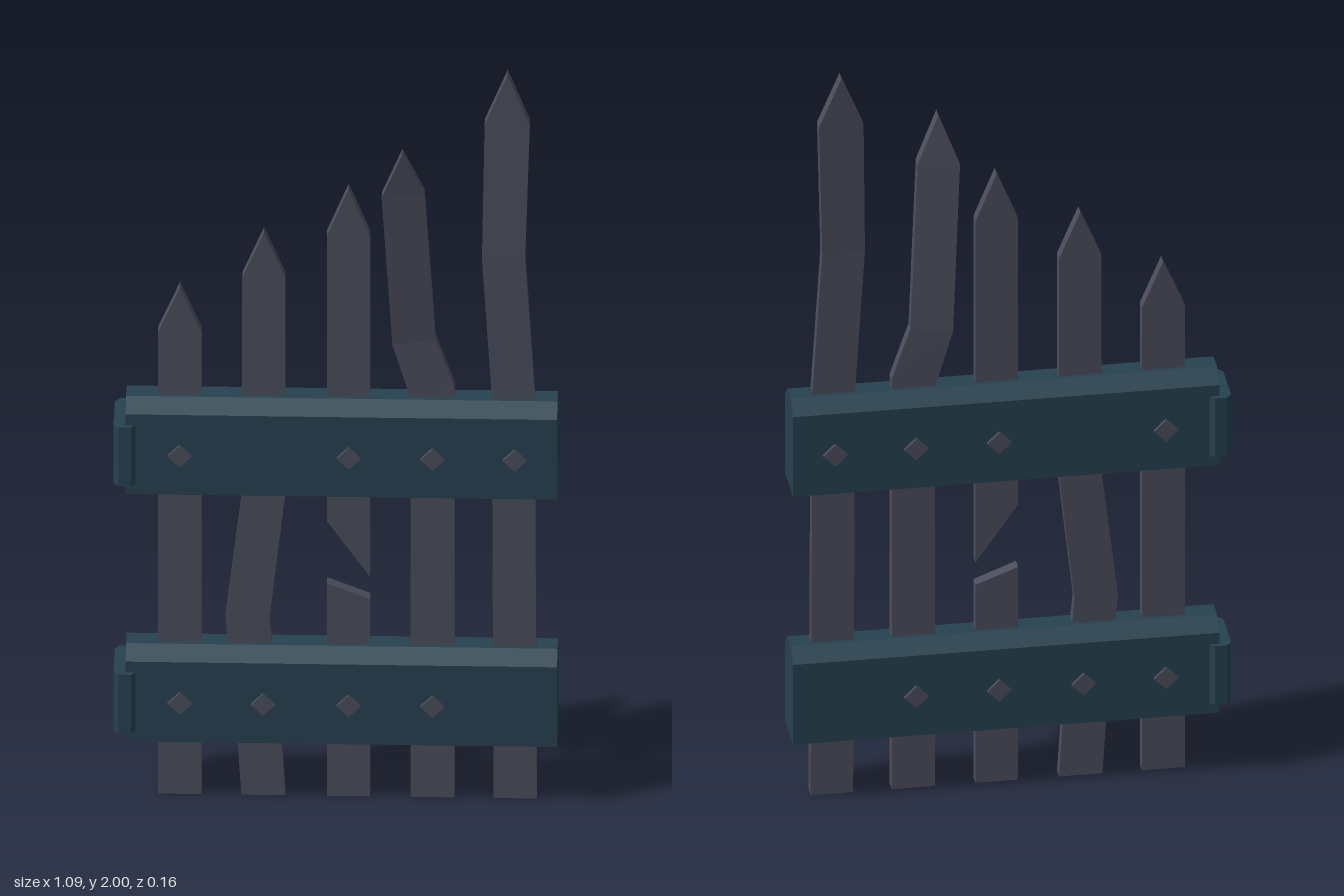
import * as THREE from 'three';

const Z = -0.006; // mid-plane of the fence

// Flat-shaded board lofted through sections [xLeft, xRight, yLeft, yRight, zMiddle]
function boardGeometry(sections, half = 0.016) {
  const rings = sections.map(([a, b, ya, yb, z = Z]) => [
    [a, ya, z + half], [b, yb, z + half], [b, yb, z - half], [a, ya, z - half],
  ]);
  const pos = [];
  const quad = (a, b, c, d) => pos.push(...a, ...b, ...c, ...a, ...c, ...d);
  for (let i = 0; i < rings.length - 1; i++) {
    const lo = rings[i], hi = rings[i + 1];
    for (let j = 0; j < 4; j++) {
      const k = (j + 1) % 4;
      quad(lo[j], lo[k], hi[k], hi[j]);
    }
  }
  const first = rings[0], last = rings[rings.length - 1];
  quad(first[3], first[2], first[1], first[0]);
  quad(last[0], last[1], last[2], last[3]);
  const g = new THREE.BufferGeometry();
  g.setAttribute('position', new THREE.Float32BufferAttribute(pos, 3));
  g.computeVertexNormals();
  return g;
}

// Extrudes a closed outline of [x, y] points
function prism(points, depth) {
  const shape = new THREE.Shape(points.map(([x, y]) => new THREE.Vector2(x, y)));
  return new THREE.ExtrudeGeometry(shape, { depth, bevelEnabled: false });
}

export function createModel() {
  const group = new THREE.Group();
  const picketMat = new THREE.MeshStandardMaterial({ color: 0x4b4d5c });
  picketMat.name = 'slate grey';
  const railMat = new THREE.MeshStandardMaterial({ color: 0x264150 });
  railMat.name = 'dark teal';

  const add = (name, geometry, material) => {
    const mesh = new THREE.Mesh(geometry, material);
    mesh.name = name;
    group.add(mesh);
    return mesh;
  };

  // Pickets, from left to right, with bends, leans and a break
  const pickets = {
    shortPicket: [
      [-0.44, -0.333, 0, 0], [-0.44, -0.333, 1.285, 1.285], [-0.386, -0.386, 1.41, 1.41],
    ],
    bentPicket: [
      [-0.235, -0.127, 0, 0], [-0.25, -0.142, 0.24, 0.24], [-0.274, -0.166, 0.49, 0.49],
      [-0.233, -0.127, 0.84, 0.84], [-0.233, -0.127, 1.44, 1.44], [-0.18, -0.18, 1.565, 1.565],
    ],
    brokenPicketLower: [
      [-0.025, 0.081, 0, 0], [-0.025, 0.081, 0.592, 0.55],
    ],
    brokenPicketUpper: [
      [-0.025, 0.081, 0.765, 0.612], [-0.025, 0.081, 1.56, 1.56], [0.028, 0.028, 1.69, 1.69],
    ],
    leaningPicket: [
      [0.181, 0.289, 0, 0], [0.181, 0.289, 1.11, 1.14], [0.136, 0.242, 1.26, 1.275, -0.004],
      [0.111, 0.216, 1.695, 1.705, 0.045], [0.162, 0.162, 1.826, 1.826, 0.064],
    ],
    tallPicket: [
      [0.385, 0.491, 0, 0], [0.38, 0.486, 1.12, 1.12], [0.356, 0.462, 1.5, 1.5, -0.008],
      [0.362, 0.473, 1.865, 1.865, -0.025], [0.418, 0.418, 2, 2, -0.031],
    ],
  };
  for (const [name, sections] of Object.entries(pickets)) {
    add(name, boardGeometry(sections), picketMat);
  }

  // Rails with bevelled top edges; the outline (z, y) is swept along x
  const halfRail = 0.064;
  const railGeo = prism([
    [-halfRail, 0], [halfRail, 0], [halfRail, 0.222],
    [0.027, 0.254], [-0.027, 0.254], [-halfRail, 0.222],
  ], 1.06);
  railGeo.rotateY(-Math.PI / 2); // outline x -> z, sweep -> -x
  railGeo.translate(0.542, 0, Z);

  // End bracket with clipped corners, outline (x, z) swept along y
  const bracketGeo = prism([
    [-0.548, -0.06], [-0.535, -0.076], [-0.505, -0.076], [-0.49, -0.06],
    [-0.49, 0.06], [-0.505, 0.076], [-0.535, 0.076], [-0.548, 0.06],
  ], 0.164);
  bracketGeo.rotateX(-Math.PI / 2);
  bracketGeo.translate(0, 0, Z);

  // Diamond nail heads that stand out on both faces of a rail
  const nailGeo = prism([[-0.03, 0], [0, -0.03], [0.03, 0], [0, 0.03]], 0.144);
  nailGeo.translate(0, 0, Z - 0.072);

  const rails = [
    { name: 'lower', y: 0.17, nails: [-0.385, -0.18, 0.03, 0.236] },
    { name: 'upper', y: 0.859, nails: [-0.385, 0.03, 0.236, 0.438] },
  ];
  for (const { name, y, nails } of rails) {
    add(name + 'Rail', railGeo, railMat).position.y = y;
    add(name + 'Bracket', bracketGeo, railMat).position.y = y + 0.028;
    for (const x of nails) add(name + 'Nail', nailGeo, picketMat).position.set(x, y + 0.11, 0);
  }
  return group;
}
